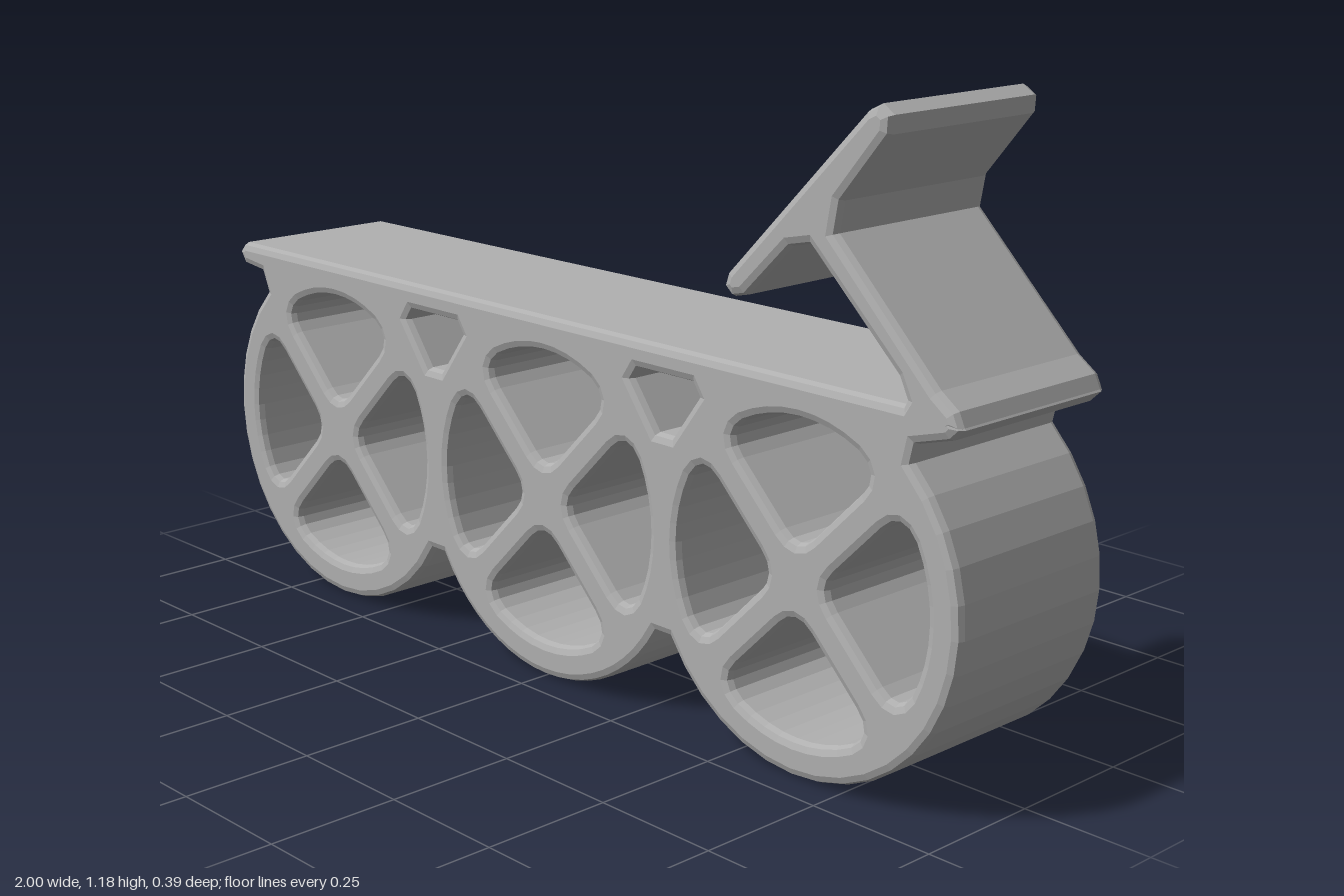
import * as THREE from 'three';

const HALF_DEPTH = 0.193, BEVEL = 0.016;
const WHEEL_X = [-0.645, 0, 0.645], WHEEL_Y = 0.357, R_OUT = 0.355, R_IN = 0.287, SPOKE = 0.05;

// Chamfered extrusion of a front outline, centred on z = 0
function slab(shape, material, name) {
  const geometry = new THREE.ExtrudeGeometry(shape, {
    depth: 2 * (HALF_DEPTH - BEVEL), curveSegments: 10, bevelEnabled: true,
    bevelThickness: BEVEL, bevelSize: BEVEL, bevelOffset: -BEVEL, bevelSegments: 2,
  });
  geometry.translate(0, 0, BEVEL - HALF_DEPTH);
  const mesh = new THREE.Mesh(geometry, material);
  mesh.name = name;
  return mesh;
}

const vectors = (list) => list.map(([x, y]) => new THREE.Vector2(x, y));

// Rounded quarter opening between two spokes, pointing along +x
function spokeOpening() {
  const cx = (2 * SPOKE + Math.sqrt(8 * R_IN * R_IN - 4 * SPOKE * SPOKE)) / 4;
  const cy = cx - SPOKE;
  const at = (t, s) => [SPOKE + (cx - SPOKE) * t, s * cy * t];
  const a = 0.47, ax = R_IN * Math.cos(a), ay = R_IN * Math.sin(a);
  const s = new THREE.Shape();
  s.moveTo(...at(0.2, -1));
  s.lineTo(...at(0.78, -1));
  s.quadraticCurveTo(cx, -cy, ax, -ay);
  s.absarc(0, 0, R_IN, -a, a, false);
  s.quadraticCurveTo(cx, cy, ...at(0.78, 1));
  s.lineTo(...at(0.2, 1));
  s.quadraticCurveTo(SPOKE, 0, ...at(0.2, -1));
  return s.getPoints(4);
}

export function createModel() {
  const group = new THREE.Group();
  group.name = 'threeWheelScooter';
  const gray = new THREE.MeshStandardMaterial({ color: 0xb0b0b0 });
  gray.name = 'plain gray';

  // Deck and three joined wheels in one outline
  const body = new THREE.Shape();
  body.moveTo(-0.968, 0.71);
  [[-0.986, 0.69], [-0.968, 0.664], [-0.905, 0.657]].forEach((p) => body.lineTo(...p));
  const notch = 0.54, end = 0.82;
  WHEEL_X.forEach((x, i) => body.absarc(x, WHEEL_Y, R_OUT,
    i === 0 ? Math.PI - end : Math.PI + notch, i === 2 ? end : 2 * Math.PI - notch, false));
  [[0.895, 0.65], [0.965, 0.67], [0.986, 0.69], [0.97, 0.71]].forEach((p) => body.lineTo(...p));
  body.closePath();

  // Four openings in each wheel
  const opening = spokeOpening();
  for (const x of WHEEL_X) {
    const centre = new THREE.Vector2(x, WHEEL_Y), origin = new THREE.Vector2();
    for (let k = 0; k < 4; k++) {
      const points = opening.map((p) => p.clone().rotateAround(origin, k * Math.PI / 2).add(centre));
      body.holes.push(new THREE.Path(points));
    }
  }

  // Small triangular gaps under the deck
  const gap = [[-0.07, 0.657], [-0.085, 0.635], [-0.02, 0.548], [0.02, 0.548], [0.085, 0.635], [0.07, 0.657]];
  for (const x of [-0.3225, 0.3225]) {
    body.holes.push(new THREE.Path(vectors(gap.map(([px, py]) => [px + x, py]))));
  }
  group.add(slab(body, gray, 'deckAndWheels'));

  // Slanted post with the handle plate on top
  const handle = new THREE.Shape(vectors([
    [0.85, 0.675], [0.955, 0.675], [0.984, 0.692], [0.972, 0.718], [0.935, 0.745],
    [0.715, 0.965], [0.725, 1.02], [0.822, 1.137], [0.824, 1.168], [0.8, 1.184],
    [0.775, 1.172], [0.475, 0.868], [0.466, 0.842], [0.485, 0.825], [0.515, 0.832],
    [0.615, 0.93], [0.66, 0.94], [0.855, 0.755], [0.872, 0.72],
  ]));
  group.add(slab(handle, gray, 'handle'));
  return group;
}
